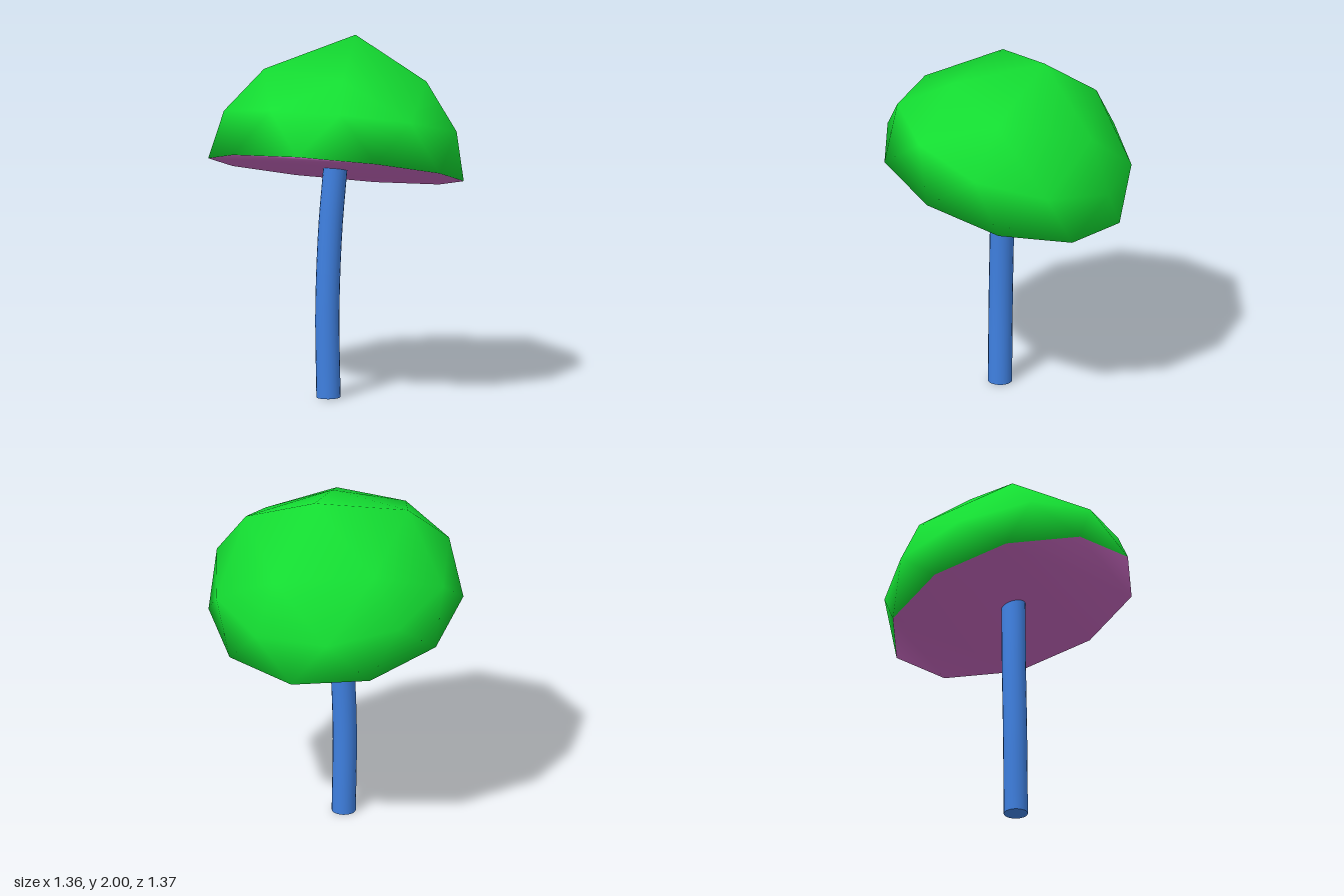
import * as THREE from 'three';

const SIDES = 10;
const mat = (color) => new THREE.MeshStandardMaterial({ color, side: THREE.DoubleSide });

// Point on the dome: angle in degrees from the front, radius, height above the rim
function polar(deg, r, h) {
  const a = THREE.MathUtils.degToRad(deg);
  return [r * Math.sin(a), h, r * Math.cos(a)];
}

// Faceted dome: rim of 10, staggered ring of 10, ring of 5 and an apex, with shared smooth normals
function buildCap() {
  const points = [];
  for (let i = 0; i < SIDES; i++) points.push(polar(36 * i, 0.71, 0));
  for (let i = 0; i < SIDES; i++) points.push(polar(36 * i + 18, i % 2 ? 0.665 : 0.68, 0.255));
  const upper = [[17, 0.42, 0.462], [88, 0.485, 0.52], [162, 0.47, 0.5], [234, 0.475, 0.5], [308, 0.475, 0.51]];
  upper.forEach(([deg, r, h]) => points.push(polar(deg, r, h)));
  points.push([0.03, 0.758, -0.04]);

  const rim = (i) => i % SIDES;
  const ring = (i) => SIDES + (i % SIDES);
  const top = (i) => 2 * SIDES + (i % 5);
  const apex = 25;

  const dome = [];
  for (let i = 0; i < SIDES; i++) {
    dome.push(rim(i), rim(i + 1), ring(i), rim(i + 1), ring(i + 1), ring(i));
  }
  for (let k = 0; k < 5; k++) {
    const j = 2 * k;
    dome.push(ring(j), ring(j + 1), top(k));
    dome.push(ring(j + 1), top(k + 1), top(k));
    dome.push(ring(j + 1), ring(j + 2), top(k + 1));
    dome.push(top(k), top(k + 1), apex);
  }

  // Flat underside in strips across the rim
  const under = [];
  for (let i = 0; i < 5; i++) {
    const a = i, b = i + 1, c = 9 - i, d = rim(10 - i);
    if (b !== c) under.push(a, c, b);
    if (a !== d) under.push(a, d, c);
  }

  const whole = new THREE.BufferGeometry();
  whole.setAttribute('position', new THREE.Float32BufferAttribute(points.flat(), 3));
  whole.setIndex([...dome, ...under]);
  whole.computeVertexNormals();

  const cap = new THREE.Group();
  cap.name = 'cap';
  for (const [name, index, color] of [['capDome', dome, 0x14de32], ['capUnderside', under, 0xc063b8]]) {
    const geometry = whole.clone();
    geometry.setIndex(index);
    const mesh = new THREE.Mesh(geometry, mat(color));
    mesh.name = name;
    cap.add(mesh);
  }
  return cap;
}

// Gently bent round stem with a closed foot
function buildStem() {
  const stem = new THREE.Group();
  stem.name = 'stem';
  const path = new THREE.CatmullRomCurve3([
    new THREE.Vector3(-0.043, 0.004, 0.036),
    new THREE.Vector3(-0.05, 0.5, 0.034),
    new THREE.Vector3(-0.037, 0.95, 0.022),
    new THREE.Vector3(-0.01, 1.31, 0.01),
  ]);
  const blue = mat(0x3f80e0);
  const shaft = new THREE.Mesh(new THREE.TubeGeometry(path, 12, 0.067, 20), blue);
  shaft.name = 'stemShaft';
  const foot = new THREE.Mesh(new THREE.CircleGeometry(0.067, 20), blue);
  foot.name = 'stemFoot';
  foot.position.copy(path.getPoint(0));
  foot.lookAt(foot.position.clone().sub(path.getTangent(0)));
  stem.add(shaft, foot);
  return stem;
}

export function createModel() {
  const model = new THREE.Group();
  model.name = 'mushroom';
  // Cap leans back, front edge raised
  const cap = buildCap();
  cap.position.set(-0.01, 1.283, 0.003);
  cap.rotation.x = -0.285;
  model.add(cap, buildStem());
  return model;
}
